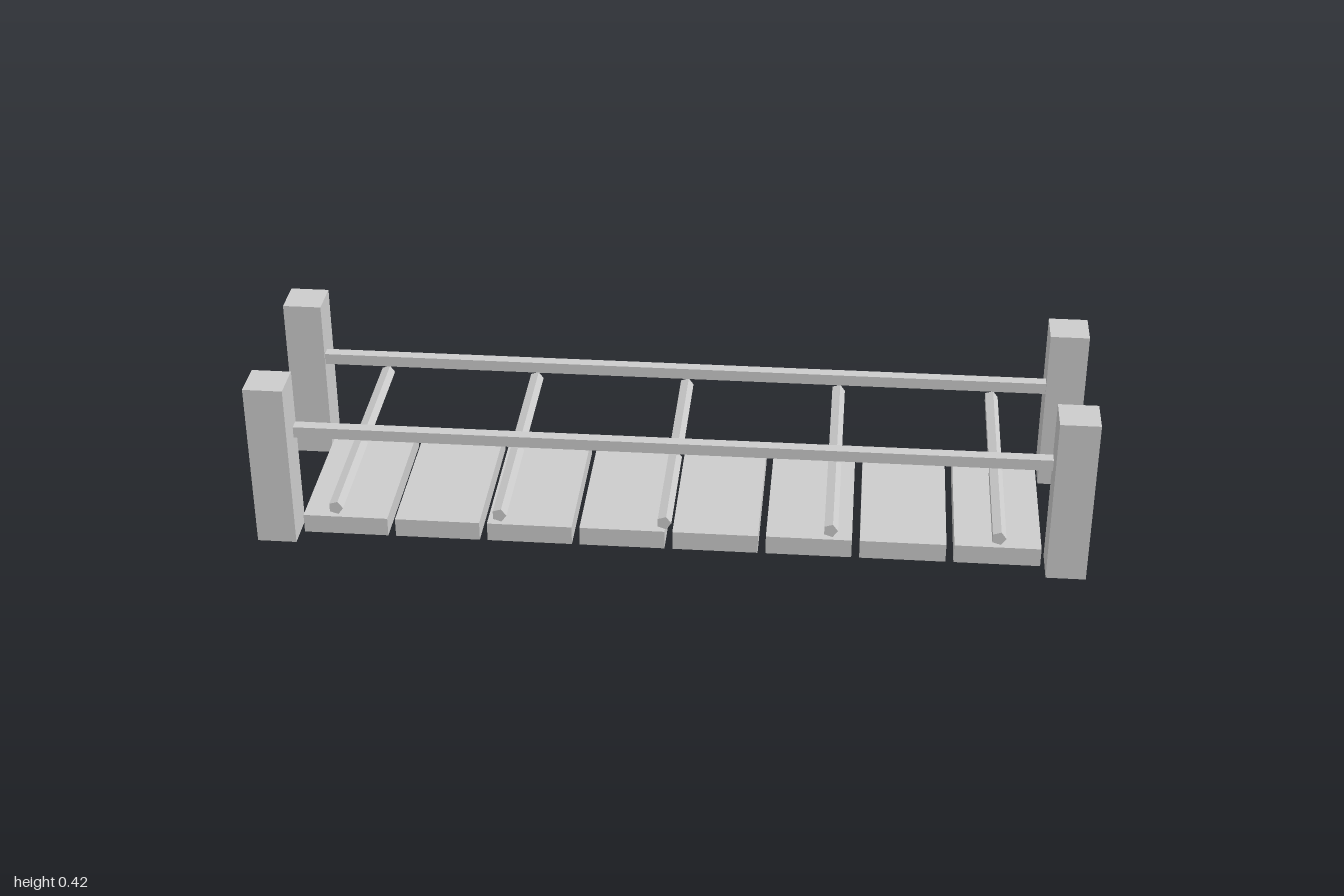
import * as THREE from 'three';

export function createModel() {
  const group = new THREE.Group();
  const stone = new THREE.MeshStandardMaterial({ color: 0xcccccc });
  stone.name = 'plainGrey';
  stone.flatShading = true;

  const add = (name, geometry, x, y, z) => {
    const mesh = new THREE.Mesh(geometry, stone);
    mesh.name = name;
    mesh.position.set(x, y, z);
    group.add(mesh);
  };

  // Deck planks
  const plank = new THREE.BoxGeometry(0.207, 0.048, 0.424);
  for (let i = 0; i < 8; i++) add('plank', plank, (i - 3.5) * 0.226, 0.024, 0);

  // Corner posts, handrails and cross rods, mirrored front and back
  const post = new THREE.BoxGeometry(0.095, 0.422, 0.096);
  const rail = new THREE.BoxGeometry(1.81, 0.028, 0.028);
  // five-sided rod along z with one edge towards +x
  const rod = new THREE.CylinderGeometry(0.0178, 0.0178, 0.301, 5);
  rod.rotateY(Math.PI / 2).rotateX(Math.PI / 2);
  for (const side of [1, -1]) {
    for (const end of [1, -1]) add('post', post, end * 0.9525, 0.211, side * 0.212);
    add('handrail', rail, 0, 0.273, side * 0.182);
    for (let i = -2; i <= 2; i++) add('crossRod', rod, i * 0.391, 0.151, side * 0.181);
  }
  return group;
}
